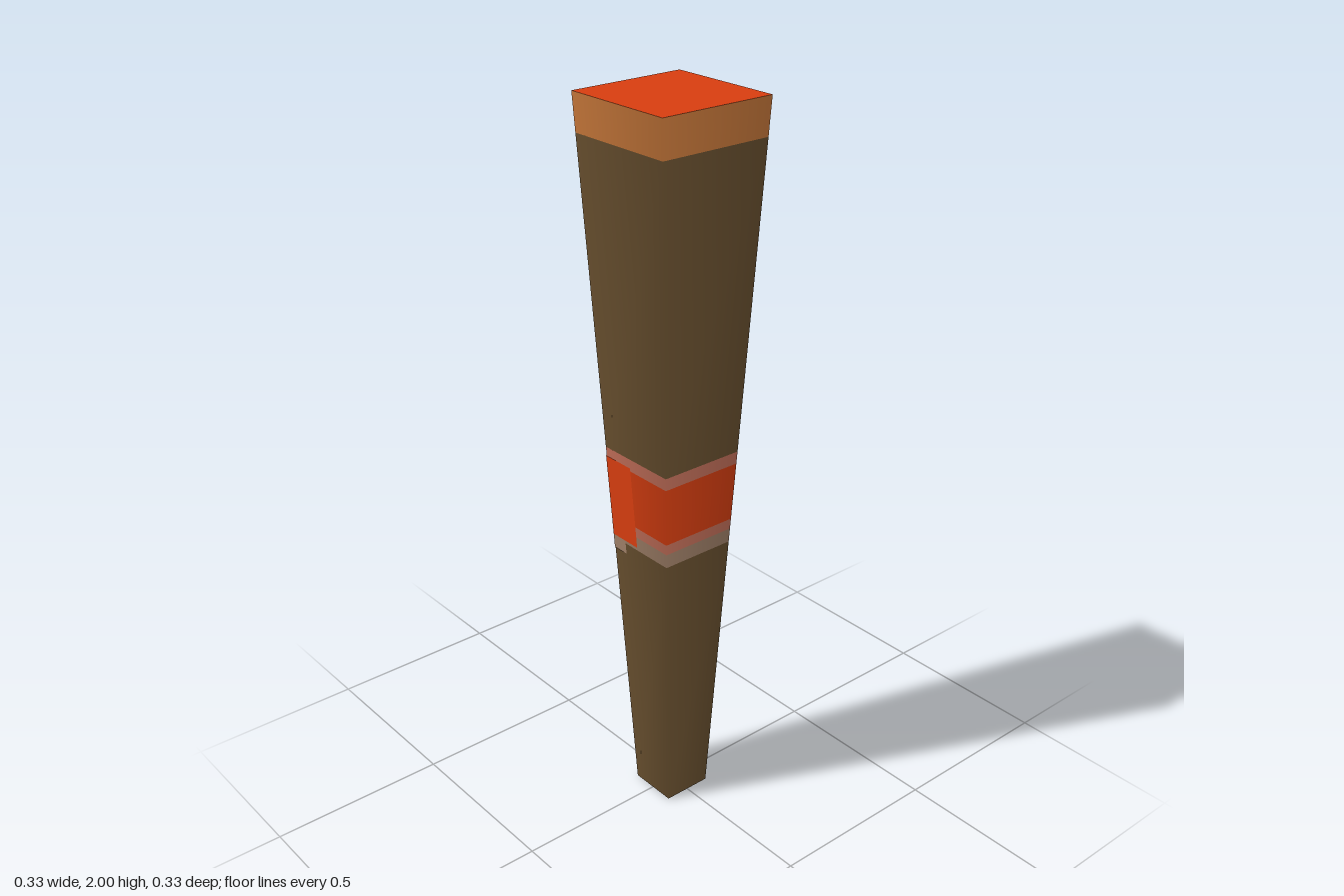
import * as THREE from 'three';

const paint = (name, color) => {
  const m = new THREE.MeshStandardMaterial({ color });
  m.name = name;
  return m;
};

// Half width of the tapered post at height y
const half = (y) => 0.07 + 0.0485 * y;

export function createModel() {
  const brown = paint('dark wood', 0x69502f);
  const orange = paint('orange wood', 0xc8783a);
  const red = paint('red paint', 0xd83e10);
  const pink = paint('faded pink', 0xc4705a);
  const pale = paint('pale tan', 0xa08068);

  const group = new THREE.Group();
  group.name = 'taperedPost';
  const add = (name, geometry, material) => {
    const mesh = new THREE.Mesh(geometry, material);
    mesh.name = name;
    group.add(mesh);
    return mesh;
  };

  // Four-sided shaft sections with softly blended corners
  const sections = [
    ['lowerShaft', 0, 0.8, brown],
    ['lowerPaleBand', 0.8, 0.84, pale],
    ['lowerPinkBand', 0.84, 0.87, pink],
    ['redBand', 0.87, 1.035, red],
    ['upperPinkBand', 1.035, 1.07, pink],
    ['upperShaft', 1.07, 1.9, brown],
    ['topBand', 1.9, 2, orange],
  ];
  for (const [name, y0, y1, material] of sections) {
    const g = new THREE.CylinderGeometry(half(y1) * Math.SQRT2, half(y0) * Math.SQRT2, y1 - y0, 4, 1, true);
    g.rotateY(Math.PI / 4).translate(0, (y0 + y1) / 2, 0);
    add(name, g, material);
  }

  // Top cap
  const top = new THREE.PlaneGeometry(2 * half(2), 2 * half(2)).rotateX(-Math.PI / 2);
  add('topCap', top.translate(0, 2, 0), red);

  // Bottom cap: orange rim around a brown centre
  const b = half(0), c = 0.045;
  const square = (P, s) => P.moveTo(-s, -s).lineTo(s, -s).lineTo(s, s).lineTo(-s, s).closePath();
  const rim = new THREE.Shape();
  square(rim, b);
  const hole = new THREE.Path();
  square(hole, c);
  rim.holes.push(hole);
  add('bottomRim', new THREE.ShapeGeometry(rim).rotateX(Math.PI / 2), orange);
  add('bottomCentre', new THREE.PlaneGeometry(2 * c, 2 * c).rotateX(Math.PI / 2), brown);

  // Paint overlap on the -x face, next to the back corner
  const patch = (name, y0, y1, reach, material) => {
    const g = new THREE.PlaneGeometry(1, 1).rotateY(-Math.PI / 2);
    const p = g.attributes.position;
    for (let i = 0; i < p.count; i++) {
      const y = p.getY(i) > 0 ? y1 : y0;
      const h = half(y);
      p.setXYZ(i, -h - 0.002, y, p.getZ(i) > 0 ? -h + reach : -h);
    }
    g.computeVertexNormals();
    add(name, g, material);
  };
  patch('redOverlap', 0.81, 1.045, 0.1, red);
  patch('paleOverlap', 0.77, 0.81, 0.05, pale);

  return group;
}
